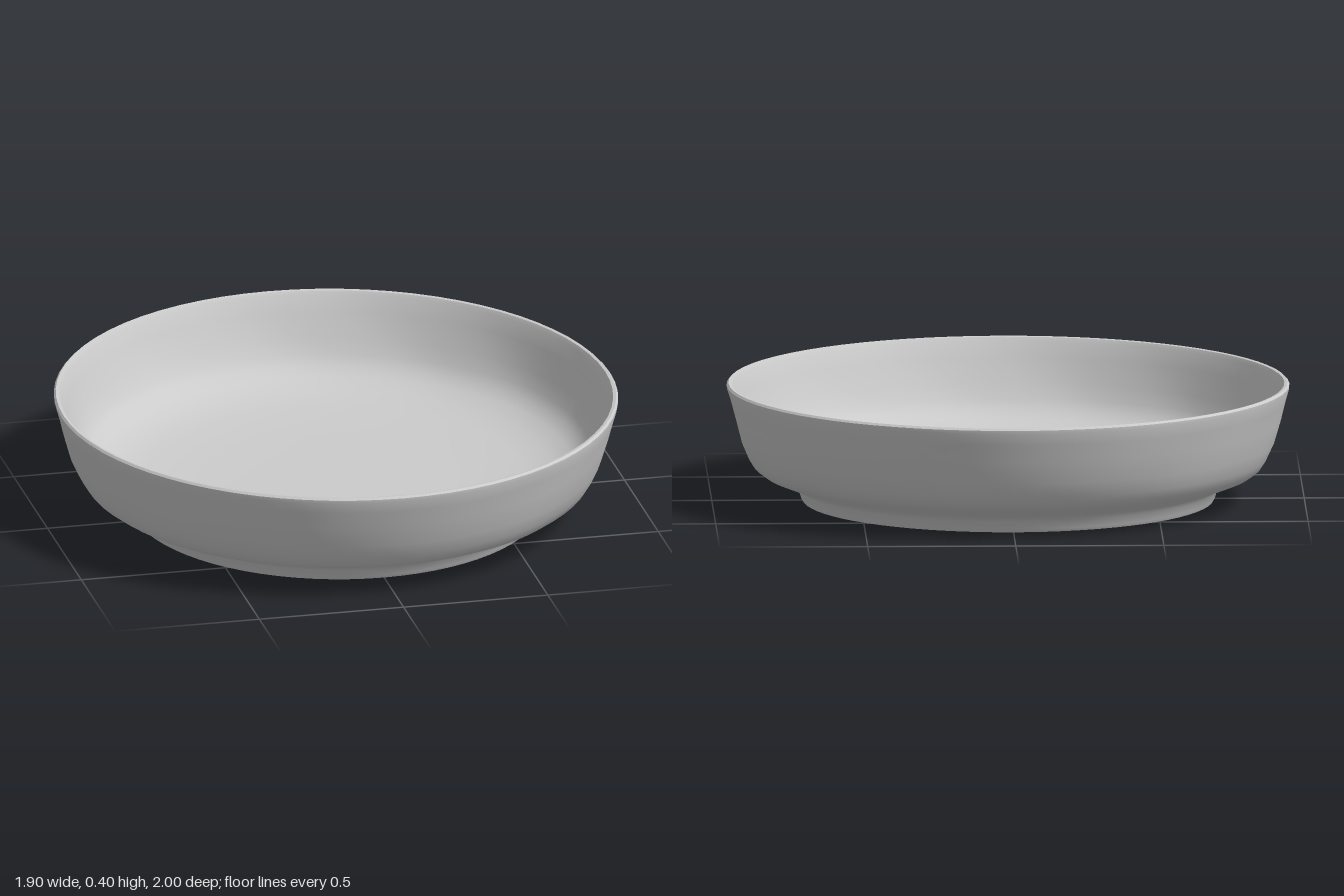
import * as THREE from 'three';
import { mergeVertices, toCreasedNormals } from 'three/addons/utils/BufferGeometryUtils.js';

// Closed profile [radius, height]: underside, foot ring, outer wall, rim, inner wall, floor
const PROFILE = [
  [0, 0.025], [0.35, 0.025], [0.64, 0.025], [0.66, 0.018], [0.675, 0.004], [0.69, 0],
  [0.715, 0.001], [0.722, 0.012], [0.732, 0.04], [0.75, 0.056],
  [0.8, 0.074], [0.86, 0.097], [0.89, 0.118], [0.912, 0.15], [0.937, 0.2],
  [0.965, 0.28], [0.985, 0.34], [0.999, 0.382], [1, 0.393], [0.993, 0.4],
  [0.982, 0.398], [0.974, 0.385], [0.955, 0.33], [0.92, 0.25], [0.895, 0.2],
  [0.87, 0.168], [0.83, 0.142], [0.76, 0.118], [0.66, 0.102], [0.4, 0.098], [0, 0.098],
];

function dishGeometry() {
  const lathe = new THREE.LatheGeometry(PROFILE.map(([r, y]) => new THREE.Vector2(r, y)), 72);
  lathe.deleteAttribute('uv');
  lathe.deleteAttribute('normal');
  const geometry = mergeVertices(lathe, 1e-4);
  const pos = geometry.attributes.position;
  // Slightly oval plan with a faint hand-thrown unevenness in the walls
  for (let i = 0; i < pos.count; i++) {
    const x = pos.getX(i), y = pos.getY(i), z = pos.getZ(i);
    const angle = Math.atan2(z, x);
    const wall = Math.sin(Math.PI * Math.min(1, y / 0.4));
    const swell = 1 + 0.003 * wall * Math.sin(9 * angle + 14 * y) * Math.sin(4 * angle + 1);
    const oval = 0.97 - 0.02 * Math.min(1, y / 0.35);
    pos.setXYZ(i, x * oval * swell, y, z * swell);
  }
  return toCreasedNormals(geometry, 0.75);
}

export function createModel() {
  const group = new THREE.Group();
  group.name = 'shallowDish';
  const dish = new THREE.Mesh(dishGeometry(), new THREE.MeshStandardMaterial({ color: 0xcccccc }));
  dish.name = 'dishBody';
  group.add(dish);
  return group;
}
